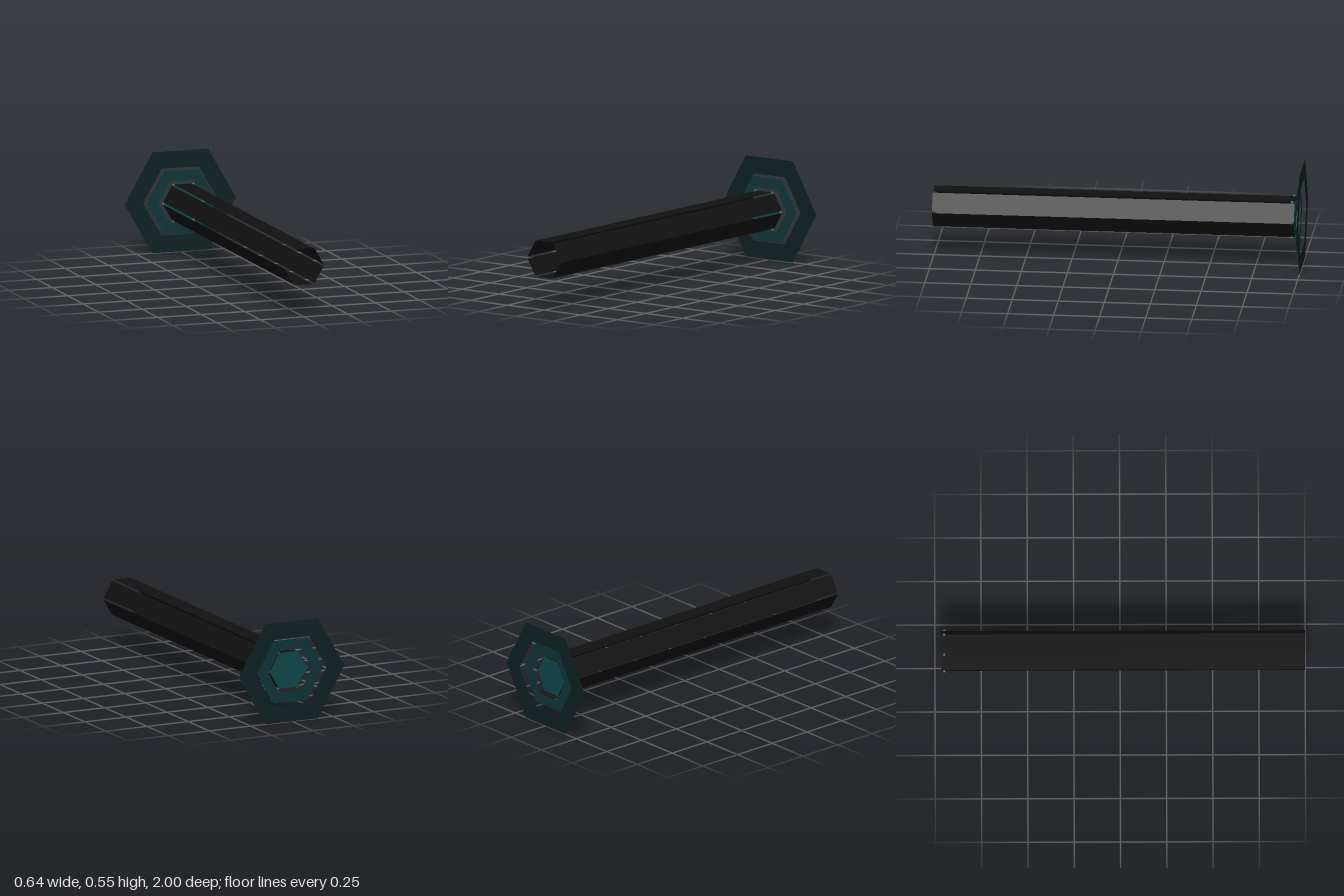
import * as THREE from 'three';

const CENTER_Y = 0.277;      // height of the tunnel axis
const TUBE_R = 0.1155;       // corner radius of the hexagonal tunnel
const FRONT_Z = 1, BACK_Z = -0.965;
const GAP = 0.007;           // slit left at each end of a wall panel

const paint = (color) => new THREE.MeshStandardMaterial({ color, side: THREE.DoubleSide });

function addMesh(parent, name, geometry, material) {
  const mesh = new THREE.Mesh(geometry, material);
  mesh.name = name;
  parent.add(mesh);
  return mesh;
}

export function createModel() {
  const model = new THREE.Group();
  model.name = 'hexagonalTunnel';
  const axis = new THREE.Group();
  axis.name = 'tunnelAxis';
  axis.position.y = CENTER_Y;
  model.add(axis);

  // Six long wall panels, separated by slits at the corners
  const walls = new THREE.Group();
  walls.name = 'walls';
  axis.add(walls);
  const wallMaterial = paint(0x111111);
  const apothem = TUBE_R * Math.cos(Math.PI / 6);
  const panel = new THREE.PlaneGeometry(TUBE_R - 2 * GAP, FRONT_Z - BACK_Z)
    .rotateX(-Math.PI / 2)
    .translate(0, apothem, (FRONT_Z + BACK_Z) / 2);
  for (let i = 0; i < 6; i++) {
    addMesh(walls, 'wallPanel', panel, wallMaterial).rotation.z = i * Math.PI / 3;
  }

  // Small beads on the corners near the back end
  const beads = new THREE.Group();
  beads.name = 'cornerBeads';
  axis.add(beads);
  const beadMaterial = new THREE.MeshStandardMaterial({ color: 0x5c5c5c });
  const bead = new THREE.SphereGeometry(0.008, 12, 8);
  for (let i = 0; i < 6; i++) {
    const a = i * Math.PI / 3;
    addMesh(beads, 'cornerBead', bead, beadMaterial)
      .position.set(TUBE_R * Math.cos(a), TUBE_R * Math.sin(a), -0.95);
  }

  // Flat hexagonal end plates, stepped in depth and lighter toward the middle
  addMesh(axis, 'outerRing', new THREE.RingGeometry(0.213, 0.32, 6), paint(0x0d2020)).position.z = -1;
  addMesh(axis, 'middleRing', new THREE.RingGeometry(0.133, 0.2, 6), paint(0x0f3336)).position.z = -0.98;
  addMesh(axis, 'centerPlate', new THREE.CircleGeometry(0.116, 6), paint(0x0f4649)).position.z = -0.96;

  return model;
}
